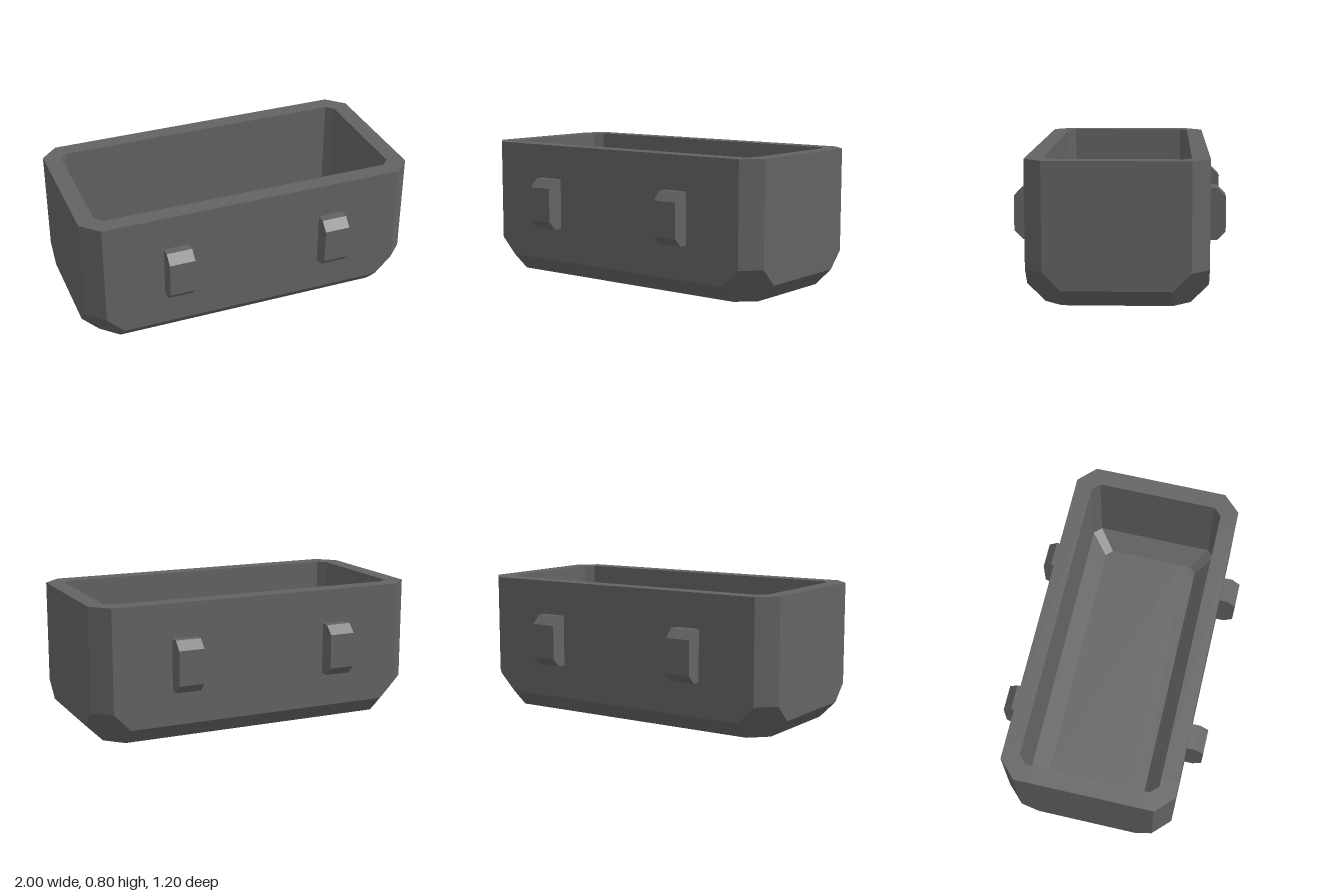
import * as THREE from 'three';

const material = new THREE.MeshStandardMaterial({ color: 0x636363, flatShading: true });

// Mirrors one corner's four [x, y, z] points into a closed 16-point ring
function ring(corner) {
  const points = [];
  for (const [sx, sz] of [[1, 1], [-1, 1], [-1, -1], [1, -1]]) {
    const part = corner.map(([x, y, z]) => new THREE.Vector3(x * sx, y, z * sz));
    points.push(...(sx * sz > 0 ? part : part.reverse()));
  }
  return points;
}

// Lofts through the rings and closes the first and last one
function loft(rings) {
  const positions = [];
  const triangle = (a, b, c) => {
    if (a.equals(b) || b.equals(c) || c.equals(a)) return;
    positions.push(...a, ...b, ...c);
  };
  for (let r = 0; r < rings.length - 1; r++) {
    const a = rings[r], b = rings[r + 1];
    for (let i = 0; i < a.length; i++) {
      const j = (i + 1) % a.length;
      triangle(a[i], b[i], b[j]);
      triangle(a[i], b[j], a[j]);
    }
  }
  const first = rings[0], last = rings[rings.length - 1];
  for (let i = 1; i < first.length - 1; i++) {
    triangle(first[0], first[i], first[i + 1]);
    triangle(last[0], last[i + 1], last[i]);
  }
  const geometry = new THREE.BufferGeometry();
  geometry.setAttribute('position', new THREE.Float32BufferAttribute(positions, 3));
  geometry.computeVertexNormals();
  return geometry;
}

// Hollow tub with chamfered corners and base
function createTub() {
  const innerWall = (y) => [[0.9, y, 0.3], [0.9, y, 0.355], [0.855, y, 0.4], [0.8, y, 0.4]];
  const tub = new THREE.Mesh(loft([
    ring([[0.9, 0, 0.3], [0.9, 0, 0.3], [0.8, 0, 0.4], [0.8, 0, 0.4]]), // underside
    ring([[1, 0.1, 0.3], [1, 0.2, 0.4], [0.9, 0.2, 0.5], [0.8, 0.1, 0.5]]), // top of base chamfer
    ring([[1, 0.8, 0.3], [1, 0.8, 0.4], [0.9, 0.8, 0.5], [0.8, 0.8, 0.5]]), // outer rim
    ring(innerWall(0.8)), // inner rim
    ring(innerWall(0.2)), // foot of inner walls
    ring([[0.8, 0.1, 0.2], [0.8, 0.1, 0.26], [0.76, 0.1, 0.3], [0.7, 0.1, 0.3]]), // floor
  ]), material);
  tub.name = 'tub';
  return tub;
}

// Chamfered lug, profile drawn outward from the wall and extruded along x
function createLugGeometry() {
  const profile = new THREE.Shape([
    [0.5, 0.3], [0.55, 0.3], [0.6, 0.35], [0.6, 0.55], [0.55, 0.6], [0.5, 0.6],
  ].map(([z, y]) => new THREE.Vector2(z, y)));
  return new THREE.ExtrudeGeometry(profile, { depth: 0.15, bevelEnabled: false })
    .rotateY(-Math.PI / 2)
    .translate(0.075, 0, 0);
}

export function createModel() {
  const model = new THREE.Group();
  model.name = 'container';
  model.add(createTub());

  // Two lugs on the front and two on the back
  const lugGeometry = createLugGeometry();
  for (const side of ['front', 'back']) {
    for (const x of [0.475, -0.475]) {
      const lug = new THREE.Mesh(lugGeometry, material);
      lug.name = `${side}${x > 0 ? 'Left' : 'Right'}Lug`;
      lug.position.x = x;
      if (side === 'back') lug.rotation.y = Math.PI;
      model.add(lug);
    }
  }
  return model;
}
